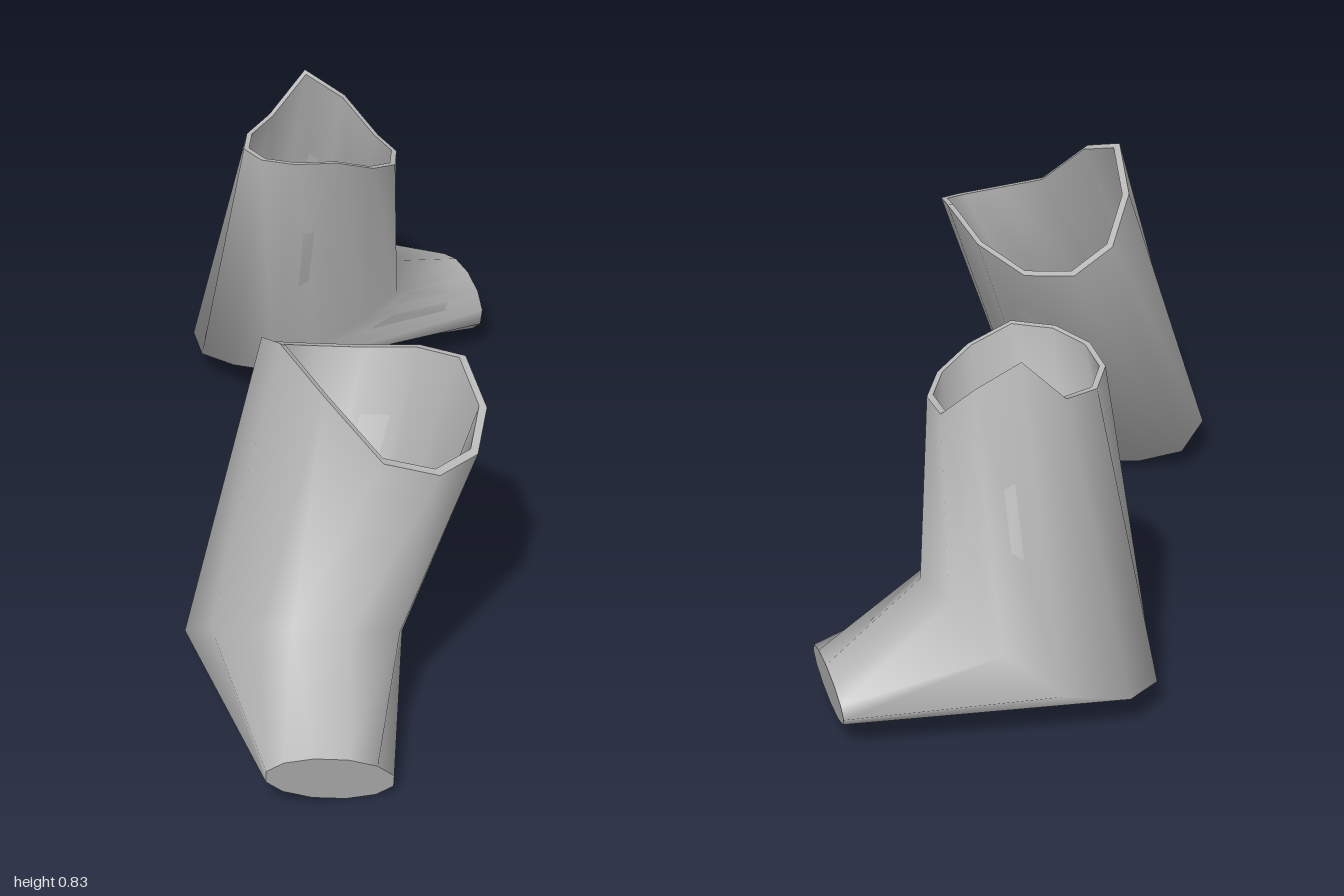
import * as THREE from 'three';

const leather = new THREE.MeshStandardMaterial({ color: 0xb8b8b8, side: THREE.DoubleSide });
leather.name = 'grey leather';

const SIDES = 12;

// Twelve points around an ellipse given by its centre and two half axes
function ellipse(centre, u, v, start) {
  return Array.from({ length: SIDES }, (_, i) => {
    const t = THREE.MathUtils.degToRad(start) + (i / SIDES) * Math.PI * 2;
    return centre.map((c, k) => c + u[k] * Math.cos(t) + v[k] * Math.sin(t));
  });
}

// Raises each point of a section to its own height
function raise(ring, heights) {
  return ring.map(([x, , z], i) => [x, heights[i], z]);
}

function middle(ring) {
  return [0, 1, 2].map((k) => ring.reduce((sum, p) => sum + p[k], 0) / SIDES);
}

// Shrinks a section towards its centre for the wall thickness
function shrink(ring, factor) {
  const c = middle(ring);
  return ring.map((p) => p.map((value, k) => c[k] + (value - c[k]) * factor));
}

function surface(name, points, index) {
  const geometry = new THREE.BufferGeometry();
  geometry.setAttribute('position', new THREE.Float32BufferAttribute(points.flat(), 3));
  geometry.setIndex(index);
  geometry.computeVertexNormals();
  const mesh = new THREE.Mesh(geometry, leather);
  mesh.name = name;
  return mesh;
}

// Skins a row of closed sections
function skin(name, rings) {
  const index = [];
  for (let r = 0; r < rings.length - 1; r++) {
    for (let i = 0; i < SIDES; i++) {
      const j = (i + 1) % SIDES;
      const a = r * SIDES + i, b = a + SIDES, d = r * SIDES + j, c = d + SIDES;
      index.push(a, b, c, a, c, d);
    }
  }
  return surface(name, rings.flat(), index);
}

// Closes a section with a fan of triangles
function cap(name, ring) {
  const index = [];
  for (let i = 0; i < SIDES; i++) index.push(SIDES, i, (i + 1) % SIDES);
  return surface(name, [...ring, middle(ring)], index);
}

// A boot is a bent tube: wavy opening, slanted heel-to-instep section, toe end
function createBoot(name, rim, ankle, toe) {
  const boot = new THREE.Group();
  boot.name = name;
  const innerRim = shrink(rim, 0.93);
  const innerAnkle = shrink(ankle, 0.92);
  // The lining stops a little short of the toe
  const innerToe = shrink(toe, 0.8).map((p, i) => p.map((value, k) => value + (ankle[i][k] - value) * 0.06));

  boot.add(
    skin('shaftAndFoot', [rim, ankle, toe]),
    cap('toeEnd', toe),
    skin('lining', [innerToe, innerAnkle, innerRim]),
    cap('liningToe', innerToe.slice().reverse()),
    skin('topEdge', [innerRim, rim]),
  );
  return boot;
}

export function createModel() {
  const model = new THREE.Group();
  model.name = 'pairOfBoots';

  // Larger boot, toe turned outwards to the front; sections start at the heel
  const rightRim = raise(
    ellipse([-0.35, 0, 0.37], [0.23, 0, -0.04], [0.03, 0, -0.3], 0),
    [0.66, 0.615, 0.62, 0.67, 0.76, 0.835, 0.78, 0.66, 0.63, 0.635, 0.67, 0.71],
  );
  const rightAnkle = [
    [-0.34, 0.045, 0.3], [-0.42, 0.02, 0.22], [-0.5, 0.02, 0.14], [-0.57, 0.05, 0.06],
    [-0.68, 0.09, 0.09], [-0.72, 0.17, 0.2], [-0.75, 0.25, 0.36], [-0.75, 0.28, 0.45],
    [-0.66, 0.27, 0.54], [-0.56, 0.24, 0.6], [-0.44, 0.14, 0.52], [-0.36, 0.07, 0.4],
  ];
  const rightToe = ellipse([-0.89, 0.074, 0.66], [0.11, -0.025, 0.092], [0.025, -0.07, 0], 22);
  model.add(createBoot('rightBoot', rightRim, rightAnkle, rightToe));

  // Smaller boot, set further back
  const leftRim = raise(
    ellipse([0.445, 0, -0.38], [0.197, 0, 0], [0, 0, -0.19], 50),
    [0.82, 0.72, 0.71, 0.72, 0.735, 0.75, 0.755, 0.715, 0.68, 0.665, 0.665, 0.75],
  );
  const leftAnkle = [
    [0.62, 0.11, -0.7], [0.48, 0.075, -0.765], [0.375, 0.07, -0.745], [0.305, 0.07, -0.66],
    [0.285, 0.09, -0.54], [0.31, 0.1, -0.43], [0.4, 0.15, -0.36], [0.5, 0.22, -0.28],
    [0.6, 0.26, -0.255], [0.69, 0.285, -0.33], [0.725, 0.29, -0.46], [0.7, 0.2, -0.6],
  ];
  const leftToe = ellipse([0.927, 0.1, -0.29], [0.071, 0.005, -0.127], [-0.015, -0.073, 0], 15);
  model.add(createBoot('leftBoot', leftRim, leftAnkle, leftToe));

  return model;
}
